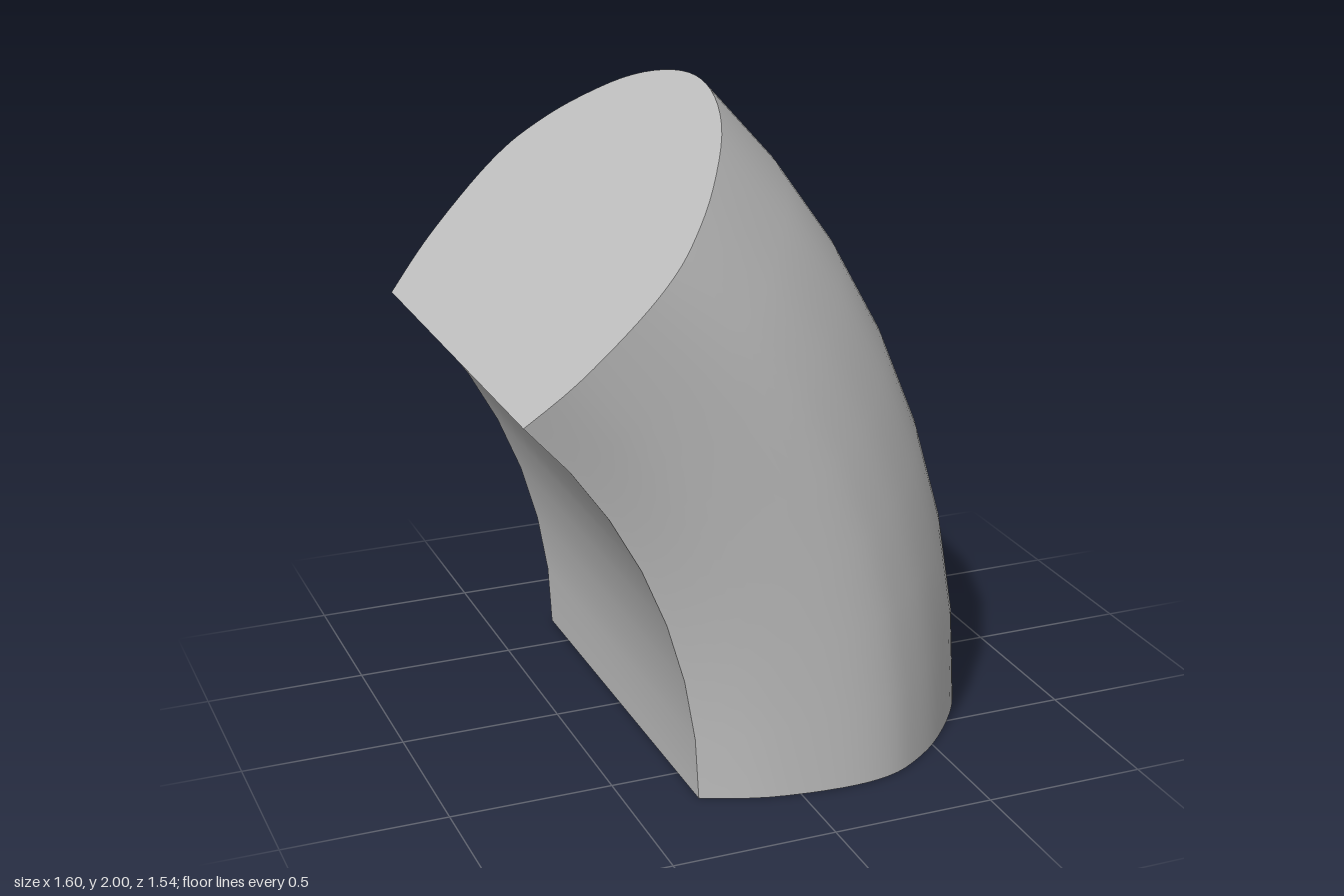
import * as THREE from 'three';

const BEND = Math.PI / 4; // total sweep angle
const STEPS = 7;
const AXIS_X = -2.03; // bend axis runs along z through this x

// Sweeps a profile of (radius, z) points around the bend axis
function sweep(profile) {
  const positions = [], index = [], n = profile.length;
  for (let i = 0; i <= STEPS; i++) {
    const a = (i / STEPS) * BEND;
    for (const p of profile) positions.push(p.x * Math.cos(a), p.x * Math.sin(a), p.y);
  }
  for (let i = 0; i < STEPS; i++) {
    for (let j = 0; j < n - 1; j++) {
      const a = i * n + j, b = a + 1, c = a + n, d = c + 1;
      index.push(a, b, c, b, d, c);
    }
  }
  const geometry = new THREE.BufferGeometry();
  geometry.setAttribute('position', new THREE.Float32BufferAttribute(positions, 3));
  geometry.setIndex(index);
  geometry.computeVertexNormals();
  return geometry;
}

export function createModel() {
  const group = new THREE.Group();
  group.name = 'curvedBend';
  const grey = new THREE.MeshStandardMaterial({ color: 0xbfbfbf });
  grey.name = 'grey';

  const add = (name, geometry) => {
    const mesh = new THREE.Mesh(geometry, grey);
    mesh.name = name;
    mesh.position.x = AXIS_X;
    group.add(mesh);
    return mesh;
  };

  // Half of the rounded D profile, mirrored across z = 0
  const half = [
    [-0.29, 0.67], [-0.1, 0.74], [0.13, 0.77], [0.29, 0.755], [0.41, 0.695],
    [0.54, 0.585], [0.685, 0.4], [0.77, 0.2], [0.8, 0],
  ].map(([x, z]) => new THREE.Vector2(x - AXIS_X, z));
  const mirrored = half.slice(0, -1).reverse().map((p) => new THREE.Vector2(p.x, -p.y));
  const profile = new THREE.SplineCurve([...half, ...mirrored]).getPoints(64);

  // Rounded outside and flat inside of the bend
  add('roundedShell', sweep(profile));
  add('flatInnerWall', sweep([profile[profile.length - 1], profile[0]]));

  // Flat end faces
  const face = new THREE.Shape(profile);
  add('bottomFace', new THREE.ShapeGeometry(face).rotateX(Math.PI / 2));
  add('topFace', new THREE.ShapeGeometry(face).rotateX(-Math.PI / 2).rotateZ(BEND));

  return group;
}
